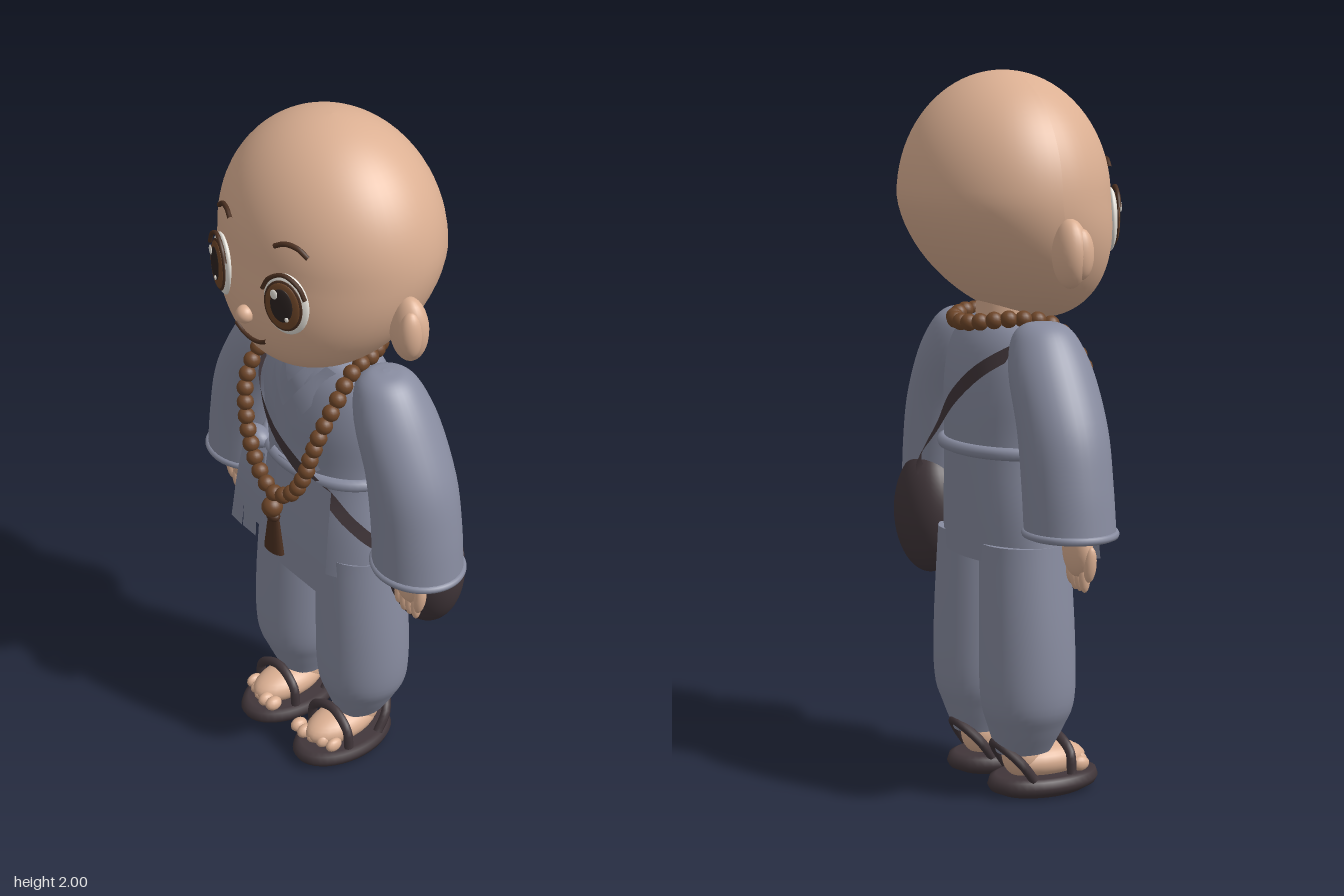
import * as THREE from 'three';

const V = (x, y, z) => new THREE.Vector3(x, y, z);
const mat = (name, color, side = THREE.FrontSide) =>
  Object.assign(new THREE.MeshStandardMaterial({ color, side }), { name });

export function createModel() {
  const root = new THREE.Group();
  root.name = 'youngMonk';
  const skin = mat('skin', 0xdcb093);
  const robe = mat('robe', 0x888ca0, THREE.DoubleSide);
  const dark = mat('darkCloth', 0x41363a, THREE.DoubleSide);
  const wood = mat('wood', 0x6e4629);
  const brown = mat('darkBrown', 0x4a2f20);
  const white = mat('eyeWhite', 0xf0ece4);
  const pupilMat = mat('pupil', 0x2c2321);

  const add = (name, geo, m, parent = root) => {
    const mesh = new THREE.Mesh(geo, m);
    mesh.name = name;
    parent.add(mesh);
    return mesh;
  };
  const ball = (name, m, p, s, parent = root, seg = 24) => {
    const b = add(name, new THREE.SphereGeometry(1, seg, Math.ceil(seg * 0.7)), m, parent);
    b.position.set(...p);
    b.scale.set(...s);
    return b;
  };
  const tube = (name, m, pts, r, closed = false, parent = root) =>
    add(name, new THREE.TubeGeometry(new THREE.CatmullRomCurve3(pts, closed), closed ? 64 : 20, r, 8, closed), m, parent);
  const ring = (name, m, [cx, y, cz], rx, rz, r) => tube(name, m,
    Array.from({ length: 24 }, (_, i) => V(cx + rx * Math.cos(i * Math.PI / 12), y, cz + rz * Math.sin(i * Math.PI / 12))), r, true);

  // Smooth stack of elliptical sections, each [y, cx, cz, rx, rz], bottom to top
  const loft = (levels, n = 36, sub = 5) => {
    const mid = new THREE.CatmullRomCurve3(levels.map(l => V(l[1], l[0], l[2])), false, 'catmullrom', 0.5);
    const rad = new THREE.CatmullRomCurve3(levels.map(l => V(l[3], 0, l[4])), false, 'catmullrom', 0.5);
    const rows = (levels.length - 1) * sub, pos = [], idx = [];
    const point = (j, i) => {
      const c = mid.getPoint(j / rows), r = rad.getPoint(j / rows), a = i / n * Math.PI * 2;
      pos.push(c.x + r.x * Math.cos(a), c.y, c.z + r.z * Math.sin(a));
    };
    for (let j = 0; j <= rows; j++) for (let i = 0; i < n; i++) point(j, i);
    for (let j = 0; j < rows; j++) for (let i = 0; i < n; i++) {
      const a = j * n + i, b = j * n + (i + 1) % n;
      idx.push(a, a + n, b, b, a + n, b + n);
    }
    for (const j of [0, rows]) {
      const start = pos.length / 3;
      for (let i = 0; i < n; i++) point(j, i);
      for (let i = 1; i < n - 1; i++)
        idx.push(start, start + (j ? i + 1 : i), start + (j ? i : i + 1));
    }
    const g = new THREE.BufferGeometry();
    g.setAttribute('position', new THREE.Float32BufferAttribute(pos, 3));
    g.setIndex(idx);
    g.computeVertexNormals();
    return g;
  };

  // Flat band following a path; its face looks along the given normal or away from the body axis
  const ribbon = (name, m, pts, w0, w1 = w0, normal = null, closed = false) => {
    const curve = new THREE.CatmullRomCurve3(pts, closed), N = closed ? 60 : 20, pos = [], idx = [];
    for (let i = 0; i <= N; i++) {
      const p = curve.getPoint(i / N), t = curve.getTangent(i / N);
      const side = t.cross(normal || V(p.x, 0, p.z + 0.02)).normalize().multiplyScalar((w0 + (w1 - w0) * i / N) / 2);
      pos.push(...p.clone().sub(side).toArray(), ...p.add(side).toArray());
      if (i < N) idx.push(2 * i, 2 * i + 1, 2 * i + 2, 2 * i + 1, 2 * i + 3, 2 * i + 2);
    }
    const g = new THREE.BufferGeometry();
    g.setAttribute('position', new THREE.Float32BufferAttribute(pos, 3));
    g.setIndex(idx);
    g.computeVertexNormals();
    return add(name, g, m);
  };

  // Head: ellipsoid whose lower half leans forward
  const lean = y => 0.1 * Math.pow(Math.max(0, (1.66 - y) / 0.34), 1.3);
  const faceZ = (x, y) =>
    -0.02 + lean(y) + 0.28 * Math.sqrt(Math.max(0, 1 - (x / 0.335) ** 2 - ((y - 1.66) / 0.34) ** 2));
  const headGeo = new THREE.SphereGeometry(1, 56, 40);
  const hp = headGeo.attributes.position;
  for (let i = 0; i < hp.count; i++) {
    const y = 1.66 + hp.getY(i) * 0.34;
    hp.setXYZ(i, hp.getX(i) * 0.335, y, -0.02 + lean(y) + hp.getZ(i) * 0.28);
  }
  headGeo.computeVertexNormals();
  add('head', headGeo, skin);
  add('neck', new THREE.CylinderGeometry(0.09, 0.1, 0.16, 24), skin).position.set(0, 1.31, 0);
  ball('nose', skin, [0, 1.515, 0.272], [0.025, 0.025, 0.025]);
  const onFace = (pts, lift = 0.004) => pts.map(([x, y]) => V(x, y, faceZ(x, y) + lift));
  tube('mouth', brown, onFace([[-0.065, 1.453], [-0.035, 1.437], [0, 1.431], [0.035, 1.437], [0.065, 1.453]]), 0.006);

  for (const s of [-1, 1]) {
    ball('ear', skin, [s * 0.338, 1.525, 0], [0.058, 0.092, 0.046]);
    ball('innerEar', skin, [s * 0.365, 1.525, 0.018], [0.032, 0.068, 0.034]);
    tube('eyebrow', brown, onFace([[s * 0.185, 1.737], [s * 0.155, 1.757], [s * 0.12, 1.76], [s * 0.092, 1.747]]), 0.007);

    // Eye layers, from white to highlights
    const eye = new THREE.Group();
    eye.name = 'eye';
    eye.position.set(s * 0.135, 1.595, 0.24);
    eye.rotation.y = s * 0.34;
    root.add(eye);
    ball('eyeWhite', white, [0, 0, 0], [0.068, 0.088, 0.018], eye, 32);
    const cx = -s * 0.002;
    ball('irisRim', brown, [cx, 0, 0.013], [0.058, 0.073, 0.008], eye, 32);
    ball('iris', wood, [cx, 0, 0.016], [0.052, 0.067, 0.008], eye, 32);
    ball('pupil', pupilMat, [cx, 0.004, 0.021], [0.034, 0.048, 0.006], eye, 32);
    ball('highlight', white, [-0.022, 0.034, 0.026], [0.011, 0.014, 0.003], eye, 16);
    ball('smallHighlight', white, [0.016, -0.03, 0.026], [0.006, 0.007, 0.003], eye, 12);
    tube('eyelash', brown, [[-0.064, 0.035], [-0.045, 0.068], [0, 0.09], [0.045, 0.068], [0.064, 0.035]]
      .map(([x, y]) => V(x, y, 0.014)), 0.006, false, eye);
  }

  // Jacket body
  const body = [
    [0.67, 0, -0.01, 0.255, 0.148], [0.8, 0, -0.015, 0.24, 0.148], [0.97, 0, -0.02, 0.215, 0.148],
    [1.13, 0, -0.015, 0.225, 0.152], [1.24, 0, -0.015, 0.215, 0.135], [1.305, 0, -0.015, 0.175, 0.105],
    [1.335, 0, -0.01, 0.1, 0.08]];
  add('jacket', loft(body, 48), robe);
  const bodyZ = (x, y, s = 1, lift = 0.01) => {
    let k = 0;
    while (k < body.length - 2 && y > body[k + 1][0]) k++;
    const [a, b] = [body[k], body[k + 1]], t = (y - a[0]) / (b[0] - a[0]);
    const L = i => a[i] + (b[i] - a[i]) * t;
    return L(2) + s * (lift + L(4) * Math.sqrt(Math.max(0, 1 - (x / L(3)) ** 2)));
  };
  const onBody = (pts, s, lift) => pts.map(([x, y]) => V(x, y, bodyZ(x, y, s, lift)));

  // Crossed collar bands, two on each side
  for (const s of [-1, 1]) {
    const lift = s < 0 ? 0.016 : 0.01;
    ribbon('collar', robe, onBody([[s * 0.115, 1.31], [s * 0.06, 1.22], [-s * 0.01, 1.12], [-s * 0.1, 1.0]], 1, lift), 0.055);
    ribbon('innerCollar', robe, onBody([[s * 0.075, 1.32], [s * 0.03, 1.25], [-s * 0.03, 1.17]], 1, lift - 0.005), 0.05);
  }

  // Belt, knot, hanging ends and front panel
  ring('belt', robe, [0, 0.975, -0.02], 0.22, 0.15, 0.018);
  ball('beltKnot', robe, [-0.17, 0.978, 0.115], [0.05, 0.032, 0.035]);
  const ends = [[-0.185, -0.225, 0.67, 0.05], [-0.155, -0.155, 0.675, 0.06], [-0.11, -0.115, 0.735, 0.055]];
  ends.forEach(([x0, x1, y, w], i) => ribbon('beltEnd', robe,
    [V(x0, 0.97, 0.13 + i * 0.008), V((x0 + x1) / 2 + 0.01, 0.84, 0.15 + i * 0.007), V(x1, y, 0.15 + i * 0.008)],
    w * 0.7, w, V(0, 0, 1)));
  ribbon('frontPanel', robe, [V(0.075, 0.99, 0.137), V(0.072, 0.82, 0.155), V(0.065, 0.65, 0.166)], 0.23, 0.26, V(0, 0, 1));

  // Sleeves, hands, trouser legs and feet
  for (const s of [-1, 1]) {
    add('sleeve', loft([
      [0.785, s * 0.375, -0.018, 0.133, 0.12], [0.92, s * 0.362, -0.02, 0.13, 0.12],
      [1.06, s * 0.335, -0.02, 0.126, 0.12], [1.2, s * 0.275, -0.02, 0.116, 0.115],
      [1.29, s * 0.238, -0.02, 0.092, 0.09], [1.328, s * 0.23, -0.02, 0.055, 0.055],
      [1.337, s * 0.23, -0.02, 0.01, 0.01]]), robe);
    ring('sleeveHem', robe, [s * 0.375, 0.788, -0.018], 0.13, 0.117, 0.011);

    ball('hand', skin, [s * 0.375, 0.74, 0.005], [0.058, 0.075, 0.034]);
    [0.405, 0.381, 0.357, 0.335].forEach((x, i) =>
      ball('finger', skin, [s * x, 0.668 + (i === 3 ? 0.012 : 0), 0.01], [0.014, 0.042, 0.016], root, 14));
    ball('thumb', skin, [s * 0.425, 0.705, 0.015], [0.016, 0.05, 0.018], root, 14).rotation.z = -s * 0.15;

    add('trouserLeg', loft([
      [0.125, s * 0.13, -0.025, 0.066, 0.08], [0.2, s * 0.138, -0.022, 0.105, 0.108],
      [0.28, s * 0.143, -0.02, 0.134, 0.13], [0.45, s * 0.14, -0.02, 0.137, 0.132],
      [0.72, s * 0.127, -0.02, 0.125, 0.125]]), robe);

    const fx = s * 0.125;
    ball('foot', skin, [fx, 0.088, 0.045], [0.068, 0.05, 0.125]);
    ball('ankle', skin, [fx, 0.11, -0.025], [0.055, 0.065, 0.06]);
    for (let i = 0; i < 5; i++)
      ball('toe', skin, [fx + s * (i - 2) * 0.032, 0.086 - i * 0.002, 0.165 - i * 0.01 + (i === 0 ? -0.012 : 0)],
        [0.02 - i * 0.001, 0.021, 0.027], root, 14);
    const sole = add('sandalSole', new THREE.LatheGeometry([[0, 0], [0.75, 0], [0.95, 0.015], [1, 0.03], [0.96, 0.05], [0.85, 0.057], [0, 0.057]]
      .map(([x, y]) => new THREE.Vector2(x, y)), 40), dark);
    sole.position.set(fx, 0, 0.04);
    sole.scale.set(0.107, 1, 0.168);
    tube('frontStrap', dark, [V(fx - 0.085, 0.06, 0.085), V(fx - 0.075, 0.12, 0.085), V(fx, 0.155, 0.08),
      V(fx + 0.075, 0.12, 0.085), V(fx + 0.085, 0.06, 0.085)], 0.014);
    tube('heelStrap', dark, [V(fx - 0.08, 0.055, -0.03), V(fx - 0.07, 0.11, -0.07), V(fx, 0.155, -0.11),
      V(fx + 0.07, 0.11, -0.07), V(fx + 0.08, 0.055, -0.03)], 0.014);
  }

  // Shoulder bag and its strap
  ball('bag', dark, [0.335, 0.73, -0.083], [0.122, 0.182, 0.1], root, 36);
  ribbon('bagStrap', dark, [
    V(-0.2, 1.27, -0.02),
    ...onBody([[-0.17, 1.2], [-0.06, 1.1], [0.05, 1.015], [0.14, 0.945]], 1, 0.022),
    V(0.215, 0.87, 0.085), V(0.29, 0.815, 0.03), V(0.31, 0.82, -0.08),
    V(0.27, 0.88, -0.15),
    ...onBody([[0.1, 1.02], [-0.04, 1.13], [-0.14, 1.215]], -1, 0.022)], 0.036, 0.036, null, true);

  // Prayer beads and tassel
  const half = [[0.07, 0.94, 0.18], [0.12, 1.02, 0.175], [0.145, 1.1, 0.168], [0.165, 1.18, 0.15],
    [0.172, 1.25, 0.11], [0.16, 1.32, 0.04], [0.135, 1.335, -0.06], [0.07, 1.325, -0.135]];
  const string = new THREE.CatmullRomCurve3([V(0, 0.905, 0.185), ...half.map(p => V(...p)), V(0, 1.32, -0.15),
    ...half.slice().reverse().map(([x, y, z]) => V(-x, y, z))], true);
  const count = 40;
  string.getSpacedPoints(count).slice(0, count).forEach(p =>
    ball('bead', wood, p.toArray(), [0.024, 0.024, 0.024], root, 16));
  ball('largeBead', wood, [0, 0.862, 0.193], [0.03, 0.03, 0.03]);
  const tassel = add('tassel', new THREE.CylinderGeometry(0.02, 0.04, 0.125, 16), brown);
  tassel.position.set(0, 0.775, 0.188);
  tassel.scale.z = 0.45;
  ball('tasselKnot', brown, [0, 0.83, 0.19], [0.023, 0.017, 0.018]);

  return root;
}
